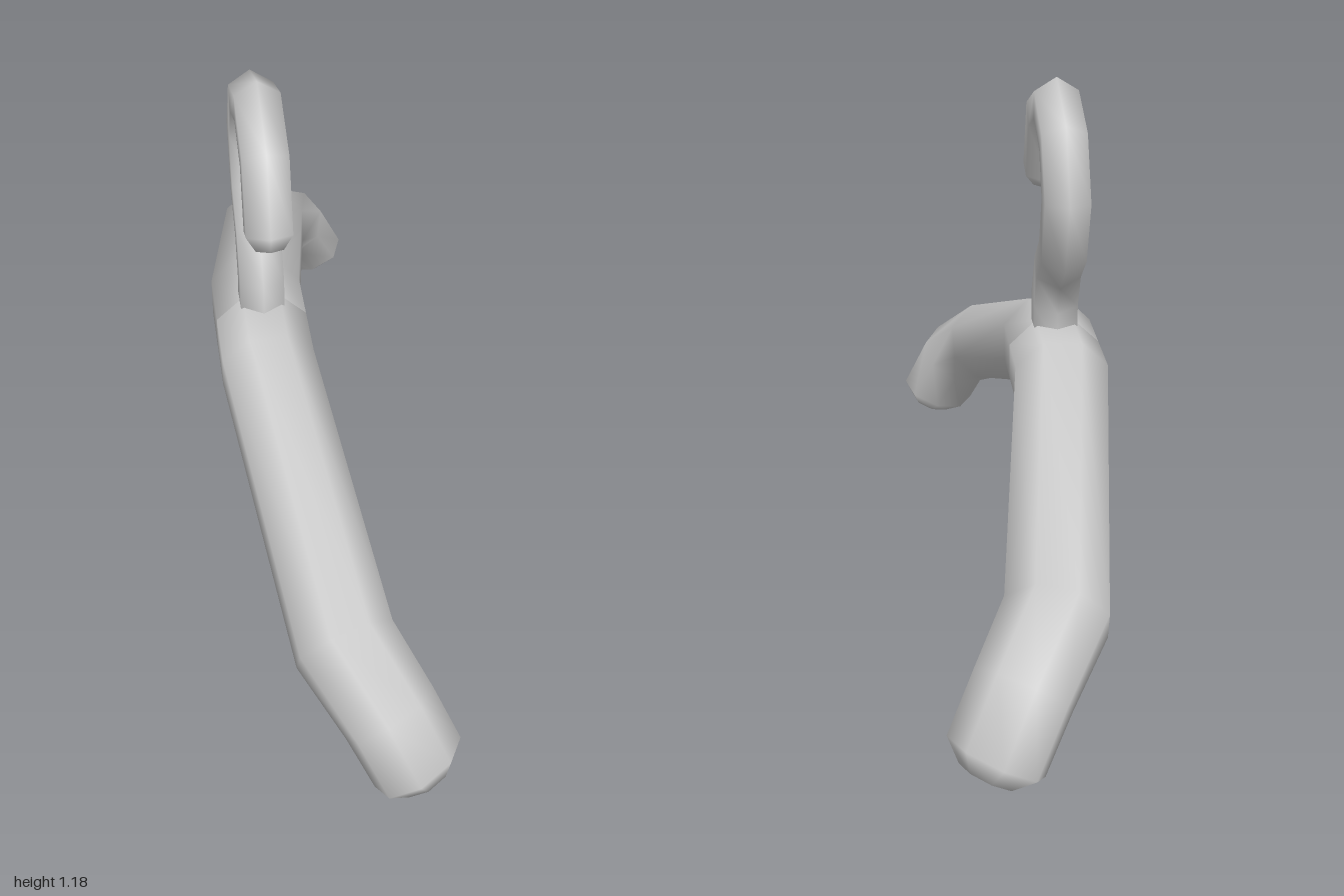
import * as THREE from 'three';

const material = new THREE.MeshStandardMaterial({ color: 0xcccccc });

// Mitred sweep: each path entry is [x, y, z, scaleU, scaleV]; the section axes
// slide along every segment onto the next mitre plane. The far end is closed.
function sweep(path, sides, radiusU, radiusV, turn) {
  const pts = path.map(p => new THREE.Vector3(p[0], p[1], p[2]));
  const dirs = pts.slice(1).map((p, i) => p.clone().sub(pts[i]).normalize());
  const u = new THREE.Vector3(1, 0, 0);
  const v = dirs[0].clone().cross(u).normalize();
  v.multiplyScalar(radiusV);
  u.multiplyScalar(radiusU);
  const positions = [], index = [];
  pts.forEach((p, i) => {
    const before = dirs[Math.max(i - 1, 0)];
    const normal = before.clone().add(dirs[Math.min(i, dirs.length - 1)]).normalize();
    for (const axis of [u, v]) {
      axis.addScaledVector(before, -axis.dot(normal) / before.dot(normal));
    }
    const [, , , su = 1, sv = 1] = path[i];
    for (let j = 0; j < sides; j++) {
      const a = turn + (j / sides) * Math.PI * 2;
      const q = p.clone().addScaledVector(u, Math.cos(a) * su).addScaledVector(v, Math.sin(a) * sv);
      positions.push(q.x, q.y, q.z);
      const k = (j + 1) % sides, r = i * sides;
      if (i < pts.length - 1) {
        index.push(r + j, r + k, r + sides + j, r + k, r + sides + k, r + sides + j);
      } else {
        index.push(r + j, r + k, r + sides);
      }
    }
  });
  positions.push(...pts[pts.length - 1].toArray());
  const geometry = new THREE.BufferGeometry();
  geometry.setAttribute('position', new THREE.Float32BufferAttribute(positions, 3));
  geometry.setIndex(index);
  geometry.computeVertexNormals();
  return geometry;
}

export function createModel() {
  const group = new THREE.Group();
  const add = (name, geometry) => {
    const mesh = new THREE.Mesh(geometry, material);
    mesh.name = name;
    group.add(mesh);
  };

  // Two octagonal shoulder arms, sloping down and curling forward at the tips
  for (const [name, s] of [['frontArm', 1], ['backArm', -1]]) {
    add(name, sweep([
      [-0.107, 0.52, 0],
      [-0.107, 0.52, 0.135 * s],
      [-0.02, 0.278, 0.765 * s],
      [0.058, 0.192, 0.888 * s, 0.95, 0.85],
      [0.115, 0.07, 0.925 * s, 0.95, 0.74],
      [0.132, 0.034, 0.934 * s, 0.56, 0.45],
    ], 8, 0.113, 0.108, Math.PI / 8));
  }

  // Six-sided hook, its base sunk into the arms
  const x = -0.107;
  add('hook', sweep([
    [x, 0.58, 0, 1, 1.13],
    [x, 0.672, 0, 1, 1.1],
    [x, 0.768, -0.052],
    [x, 0.832, -0.138],
    [x, 0.96, -0.188],
    [x, 1.078, -0.128],
    [x, 1.13, 0],
    [x, 1.078, 0.132],
    [x, 0.932, 0.187],
    [x, 0.893, 0.199, 0.6, 0.6],
  ].map(p => (p[1] === 0.893 ? [x, 0.9, 0.198, 0.6, 0.6] : p)), 6, 0.058, 0.058, Math.PI / 2));

  return group;
}
